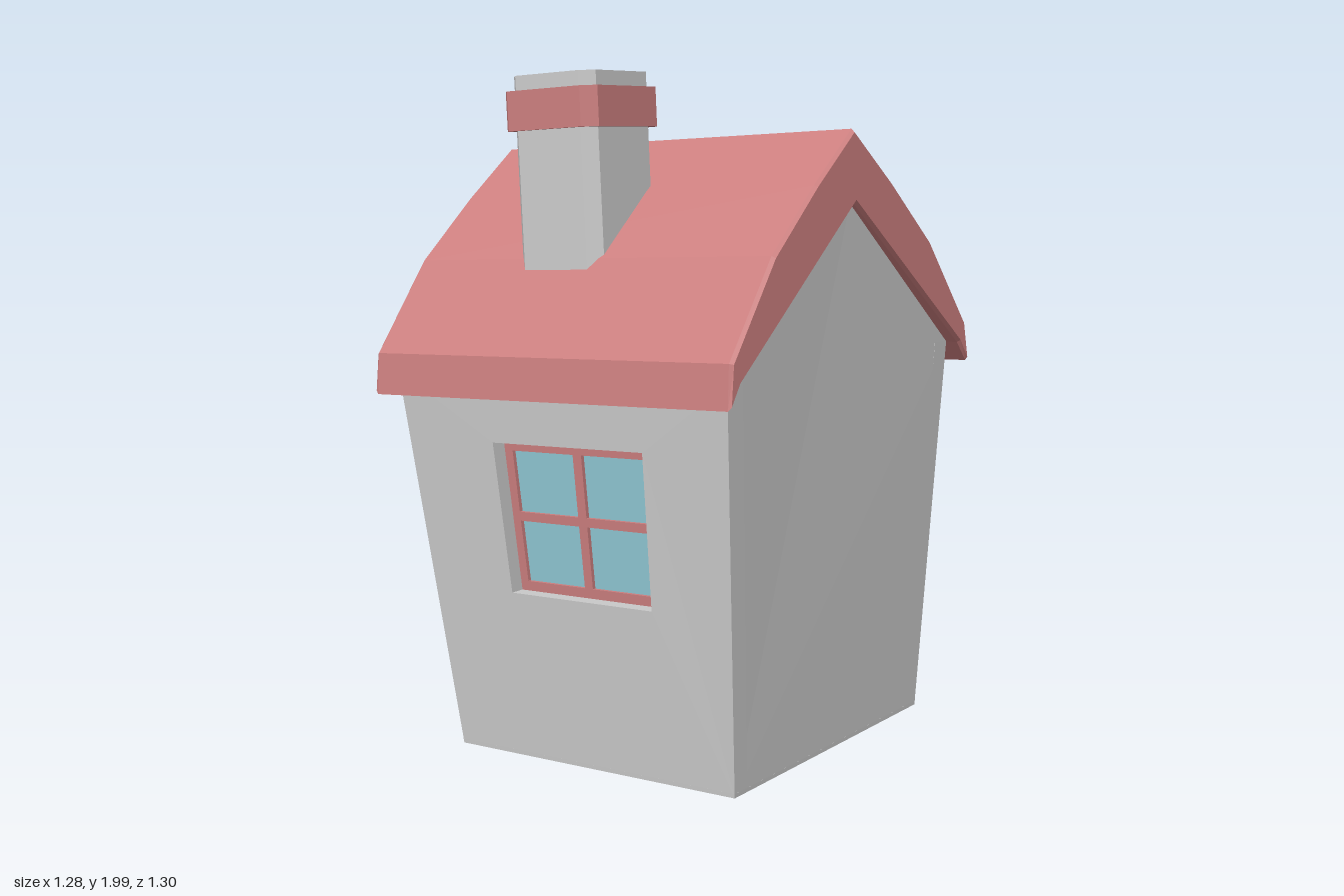
import * as THREE from 'three';

const GREY = 0xcccccc, RED = 0xcc7f7f, GLASS = 0x90c8d4;
const WALL = 0.49;    // half width of the house at the floor
const EAVE = 1.125;   // wall height at the eaves
const RECESS = 0.06;  // depth of window and door reveals

const material = (color) =>
  new THREE.MeshStandardMaterial({ color, flatShading: true, side: THREE.DoubleSide });

function add(parent, name, geometry, color) {
  const mesh = new THREE.Mesh(geometry, material(color));
  mesh.name = name;
  parent.add(mesh);
  return mesh;
}

const polygon = (pts) => new THREE.Shape(pts.map(([x, y]) => new THREE.Vector2(x, y)));
const rect = (x0, x1, y0, y1) => polygon([[x0, y0], [x1, y0], [x1, y1], [x0, y1]]);

// Square with chamfered corners
const octagon = (h, c) => polygon([
  [-h + c, -h], [h - c, -h], [h, -h + c], [h, h - c],
  [h - c, h], [-h + c, h], [-h, h - c], [-h, -h + c]]);

const extrude = (shape, depth) =>
  new THREE.ExtrudeGeometry(shape, { depth, bevelEnabled: false });

// Turn a wall part to its side of the house, then flare it outwards with height
function flare(geometry, turn = 0) {
  geometry.rotateY(turn);
  const p = geometry.attributes.position;
  for (let i = 0; i < p.count; i++) {
    const y = p.getY(i);
    const k = 1 + 0.2 * y - 0.032 * y * y;
    p.setXYZ(i, p.getX(i) * k, y, p.getZ(i) * k);
  }
  geometry.computeVertexNormals();
  return geometry;
}

// Wall of a given outline, with an optional rectangular opening
function addWall(parent, name, outline, turn, opening) {
  const shape = polygon(outline);
  if (opening) shape.holes.push(rect(...opening));
  const geometry = extrude(shape, RECESS).translate(0, 0, WALL - RECESS);
  add(parent, name, flare(geometry, turn), GREY);
}

// Panel filling an opening, with a 2 x 2 set of panes in the given area
function addPanel(parent, name, [x0, x1, y0, y1], [px0, px1, py0, py1], turn) {
  const group = new THREE.Group();
  group.name = name;
  parent.add(group);
  const shape = rect(x0, x1, y0, y1);
  const bar = 0.013, mx = (px0 + px1) / 2, my = (py0 + py1) / 2;
  for (const [a, b] of [[px0, mx - bar], [mx + bar, px1]])
    for (const [c, d] of [[py0, my - bar], [my + bar, py1]])
      shape.holes.push(rect(a, b, c, d));
  add(group, name + 'Frame',
    flare(extrude(shape, 0.02).translate(0, 0, WALL - 0.06), turn), RED);
  add(group, name + 'Glass',
    flare(new THREE.ShapeGeometry(rect(px0, px1, py0, py1)).translate(0, 0, WALL - 0.05), turn), GLASS);
}

export function createModel() {
  const model = new THREE.Group();
  model.name = 'cottage';

  // The whole house leans slightly
  const house = new THREE.Group();
  house.name = 'leaningHouse';
  house.position.set(-0.03, 0.044, 0.09);
  house.rotation.set(-0.068, 0.012, -0.022);
  model.add(house);

  // Walls
  const gable = [[-WALL, 0], [WALL, 0], [WALL, EAVE], [0, 1.56], [-WALL, EAVE]];
  const side = [[-WALL, 0], [WALL, 0], [WALL, EAVE], [-WALL, EAVE]];
  const door = [-0.21, 0.21, 0.015, 0.73];
  addWall(house, 'frontWall', gable, 0);
  addWall(house, 'backWall', gable, Math.PI, door);

  // Side walls with windows
  for (const [label, s] of [['left', 1], ['right', -1]]) {
    const turn = s * Math.PI / 2, c = -s * 0.022, h = 0.228;
    const opening = [c - h, c + h, 0.494, 0.929];
    const panes = [c - h + 0.025, c + h - 0.025, 0.522, 0.901];
    addWall(house, label + 'Wall', side, turn, opening);
    addPanel(house, label + 'Window', opening, panes, turn);
  }

  // Back door
  addPanel(house, 'door', door, [-0.17, 0.17, 0.41, 0.69], Math.PI);

  // Floor
  add(house, 'floor',
    flare(new THREE.BoxGeometry(2 * WALL, 0.012, 2 * WALL).translate(0, 0.006, 0)), GREY);

  // Roof: bowed slopes, turned-down eaves, straight underside
  const outer = [[0.2, 1.608], [0.413, 1.433], [0.62, 1.178], [0.633, 1.06]];
  const inner = [[0.582, 1.12]];
  const half = [...outer, ...inner];
  const mirrored = half.map(([x, y]) => [-x, y]).reverse();
  const roof = new THREE.ExtrudeGeometry(
    polygon([[0, 1.755], ...half, [0, 1.553], ...mirrored]),
    { depth: 1.23, bevelThickness: 0.01, bevelSize: 0.008, bevelOffset: -0.008, bevelSegments: 1 });
  add(house, 'roof', roof.translate(0, 0, -0.615), RED);

  // Chimney: hollow stack with a collar
  const chimney = new THREE.Group();
  chimney.name = 'chimney';
  chimney.position.set(-0.29, 0, -0.088);
  house.add(chimney);
  const ring = (outerShape, innerShape, y0, y1) => {
    outerShape.holes.push(innerShape);
    return extrude(outerShape, y1 - y0).rotateX(-Math.PI / 2).translate(0, y0, 0);
  };
  add(chimney, 'chimneyStack', ring(octagon(0.147, 0.035), octagon(0.132, 0.03), 1.3, 1.942), GREY);
  add(chimney, 'chimneyCollar', ring(octagon(0.165, 0.035), octagon(0.14, 0.033), 1.79, 1.9), RED);
  add(chimney, 'chimneyFloor',
    new THREE.ShapeGeometry(octagon(0.135, 0.03)).rotateX(-Math.PI / 2).translate(0, 1.68, 0), GREY);

  return model;
}
